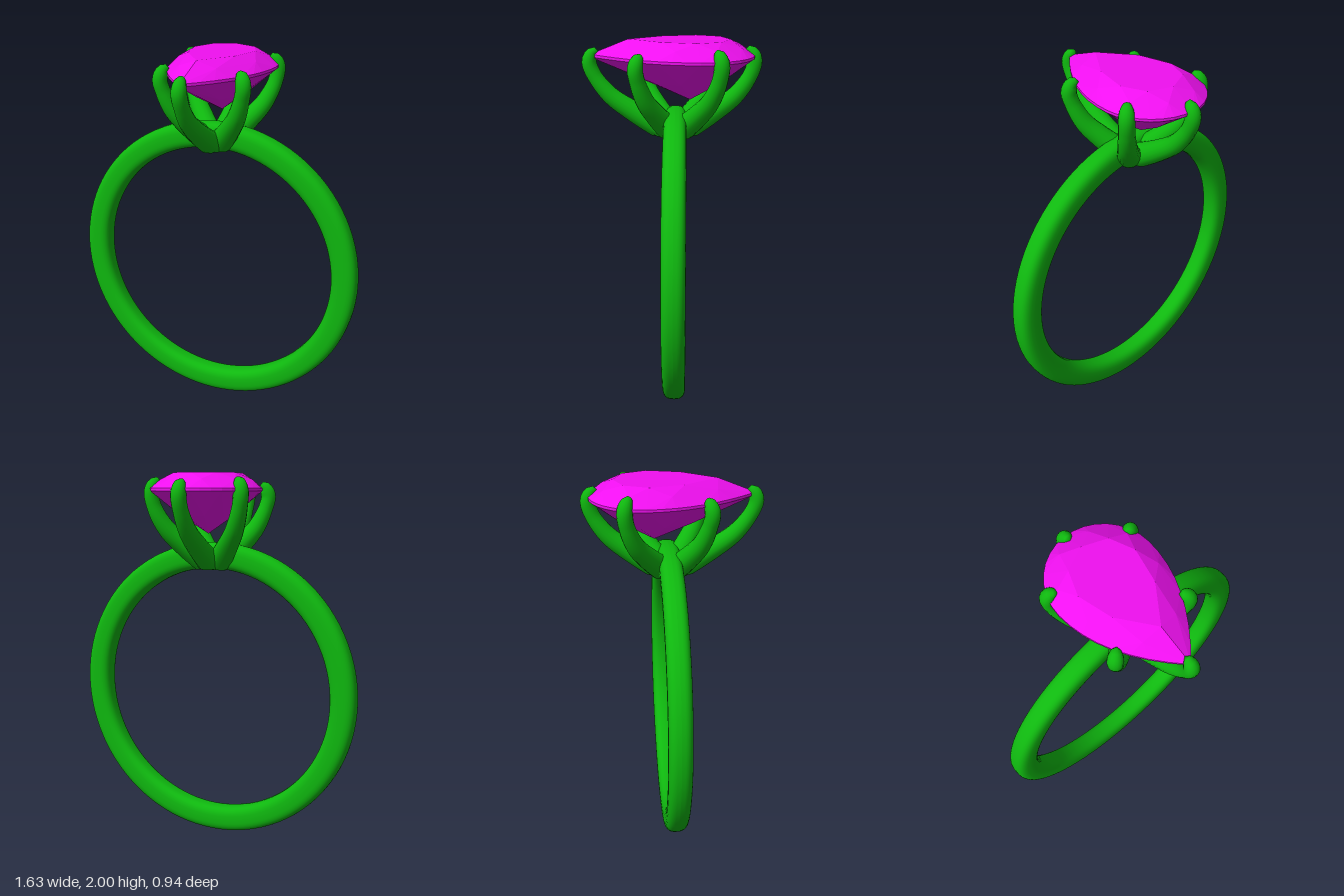
import * as THREE from 'three';
import { mergeVertices } from 'three/addons/utils/BufferGeometryUtils.js';
import { ConvexGeometry } from 'three/addons/geometries/ConvexGeometry.js';

const RING = { y: 0.82, z: -0.022, inner: 0.675, outer: 0.816, halfWidth: 0.061 };
const metal = new THREE.MeshStandardMaterial({ color: 0x0fb80f });
const gem = new THREE.MeshStandardMaterial({ color: 0xf010f0, flatShading: true });

// Band: a soft-cornered section turned about the finger axis
function makeBand() {
  const mid = (RING.inner + RING.outer) / 2, half = (RING.outer - RING.inner) / 2;
  const soft = (v) => Math.sign(v) * Math.pow(Math.abs(v), 2 / 2.8);
  const profile = [];
  for (let i = 0; i <= 32; i++) {
    const a = (i / 32) * Math.PI * 2;
    profile.push(new THREE.Vector2(mid + half * soft(Math.cos(a)), RING.halfWidth * soft(Math.sin(a))));
  }
  const band = new THREE.Mesh(new THREE.LatheGeometry(profile, 96), metal);
  band.rotation.x = Math.PI / 2;
  band.position.set(0, RING.y, RING.z);
  band.name = 'band';
  return band;
}

// Prong: tapered tube rising from the band to a rounded claw, trimmed by the finger hole
function makeProng(x, z, top) {
  const dir = new THREE.Vector2(x, z - RING.z);
  const reach = dir.length();
  dir.normalize();
  const at = (r, y) => new THREE.Vector3(dir.x * r, y, RING.z + dir.y * r);
  const curve = new THREE.CatmullRomCurve3([
    at(0, 1.5), at(reach * 0.18, 1.54), at(reach * 0.49, 1.62), at(reach * 0.77, 1.71),
    at(reach * 0.955, 1.82), at(reach, top - 0.065), at(reach - 0.02, top - 0.02), at(reach - 0.05, top - 0.012),
  ]);
  const steps = 40, sides = 16;
  const geo = new THREE.TubeGeometry(curve, steps, 1, sides, false);
  const pos = geo.attributes.position, v = new THREE.Vector3();
  for (let i = 0; i <= steps; i++) {
    const t = i / steps, centre = curve.getPointAt(t);
    const dome = Math.max(0, (t - 0.86) / 0.14);
    const radius = THREE.MathUtils.lerp(0.07, 0.04, Math.min(1, t / 0.75)) * Math.sqrt(1 - dome * dome);
    for (let j = 0; j <= sides; j++) {
      const k = i * (sides + 1) + j;
      v.fromBufferAttribute(pos, k).sub(centre).multiplyScalar(radius).add(centre);
      const floor = RING.y + Math.sqrt(RING.inner ** 2 - v.x ** 2);
      pos.setXYZ(k, v.x, Math.max(v.y, floor), v.z);
    }
  }
  geo.deleteAttribute('normal');
  geo.deleteAttribute('uv');
  const welded = mergeVertices(geo, 1e-5);
  welded.computeVertexNormals();
  return new THREE.Mesh(welded, metal);
}

// Pear outline at u in 0..1: round at the back, pointed at the front
function pear(u) {
  const side = u < 0.5 ? 1 : -1;
  const s = u < 0.5 ? u * 2 : 2 - u * 2; // 0 = back, 1 = point
  if (s < 0.5) {
    const a = s * Math.PI;
    return [side * 0.278 * Math.sin(a), -0.15 - 0.285 * Math.cos(a)];
  }
  const t = (s - 0.5) * 2;
  return [side * 0.278 * (1 - t * t), -0.15 + 0.572 * t];
}

// Stone: faceted hull over table, crown, girdle, pavilion and culet
function makeStone() {
  const points = [new THREE.Vector3(0, 1.685, -0.1)];
  const level = (count, shift, scale, y) => {
    for (let i = 0; i < count; i++) {
      const [x, z] = pear(((i + shift) / count) % 1);
      points.push(new THREE.Vector3(x * scale, y, -0.1 + (z + 0.1) * scale));
    }
  };
  level(8, 0, 0.62, 2.0);
  level(8, 0.5, 0.83, 1.966);
  level(32, 0, 1, 1.921);
  level(32, 0, 1, 1.907);
  level(8, 0.5, 0.5, 1.782);
  const stone = new THREE.Mesh(new ConvexGeometry(points), gem);
  stone.name = 'pearStone';
  return stone;
}

export function createModel() {
  const model = new THREE.Group();
  model.name = 'ring';
  model.add(makeBand(), makeStone());

  const setting = new THREE.Group();
  setting.name = 'setting';
  const add = (name, x, z, top) => {
    const prong = makeProng(x, z, top);
    prong.name = name;
    setting.add(prong);
  };
  add('frontProng', 0, 0.428, 1.95);
  add('backProng', 0, -0.435, 1.96);
  for (const [label, s] of [['left', 1], ['right', -1]]) {
    add(label + 'FrontProng', s * 0.228, 0.175, 1.945);
    add(label + 'BackProng', s * 0.255, -0.255, 1.97);
  }
  model.add(setting);
  return model;
}
